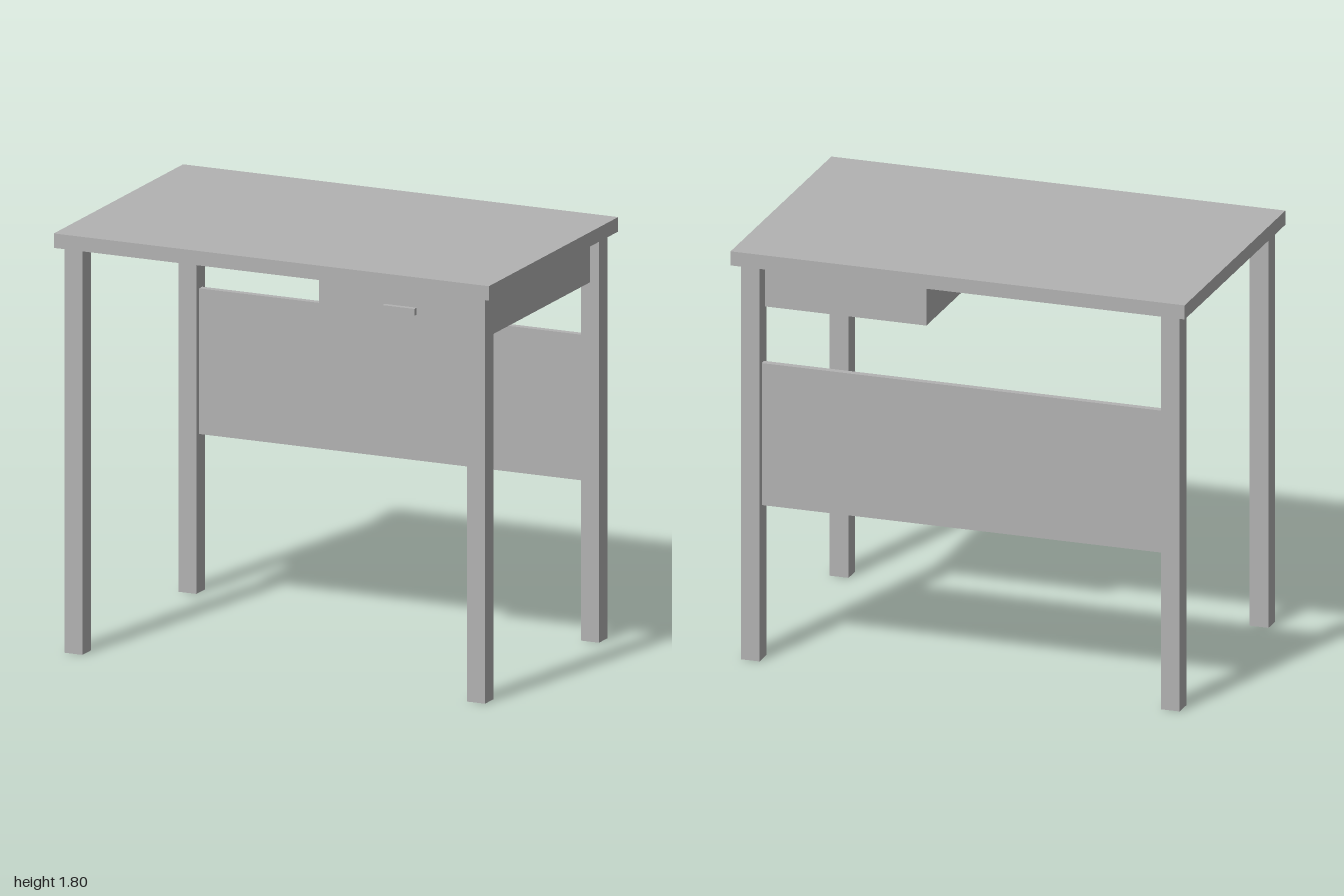
import * as THREE from 'three';

export function createModel() {
  const desk = new THREE.Group();
  desk.name = 'desk';

  const grey = new THREE.MeshStandardMaterial({ color: 0xb2b2b2 });
  grey.name = 'plain grey';

  // Box given by its minimum and maximum corners
  function addBox(name, min, max) {
    const size = max.map((v, i) => v - min[i]);
    const mesh = new THREE.Mesh(new THREE.BoxGeometry(...size), grey);
    mesh.position.set(...max.map((v, i) => (v + min[i]) / 2));
    mesh.name = name;
    desk.add(mesh);
  }

  // Table top
  addBox('tableTop', [-1, 1.741, -0.624], [1, 1.803, 0.624]);

  // Four square legs
  const legX = 0.925, legZ = 0.55, half = 0.0415;
  for (const [side, sx] of [['Left', 1], ['Right', -1]]) {
    for (const [end, sz] of [['front', 1], ['back', -1]]) {
      const x = sx * legX, z = sz * legZ;
      addBox(`${end}${side}Leg`, [x - half, 0, z - half], [x + half, 1.741, z + half]);
    }
  }

  // Modesty panel set between the back legs
  addBox('backPanel', [-legX, 0.68, -0.565], [legX, 1.305, -0.535]);

  // Drawer hung between the left legs, with its pull
  addBox('drawer', [0.172, 1.542, -0.527], [legX, 1.714, 0.527]);
  addBox('drawerHandle', [0.475, 1.615, 0.52], [0.622, 1.645, 0.55]);

  return desk;
}
